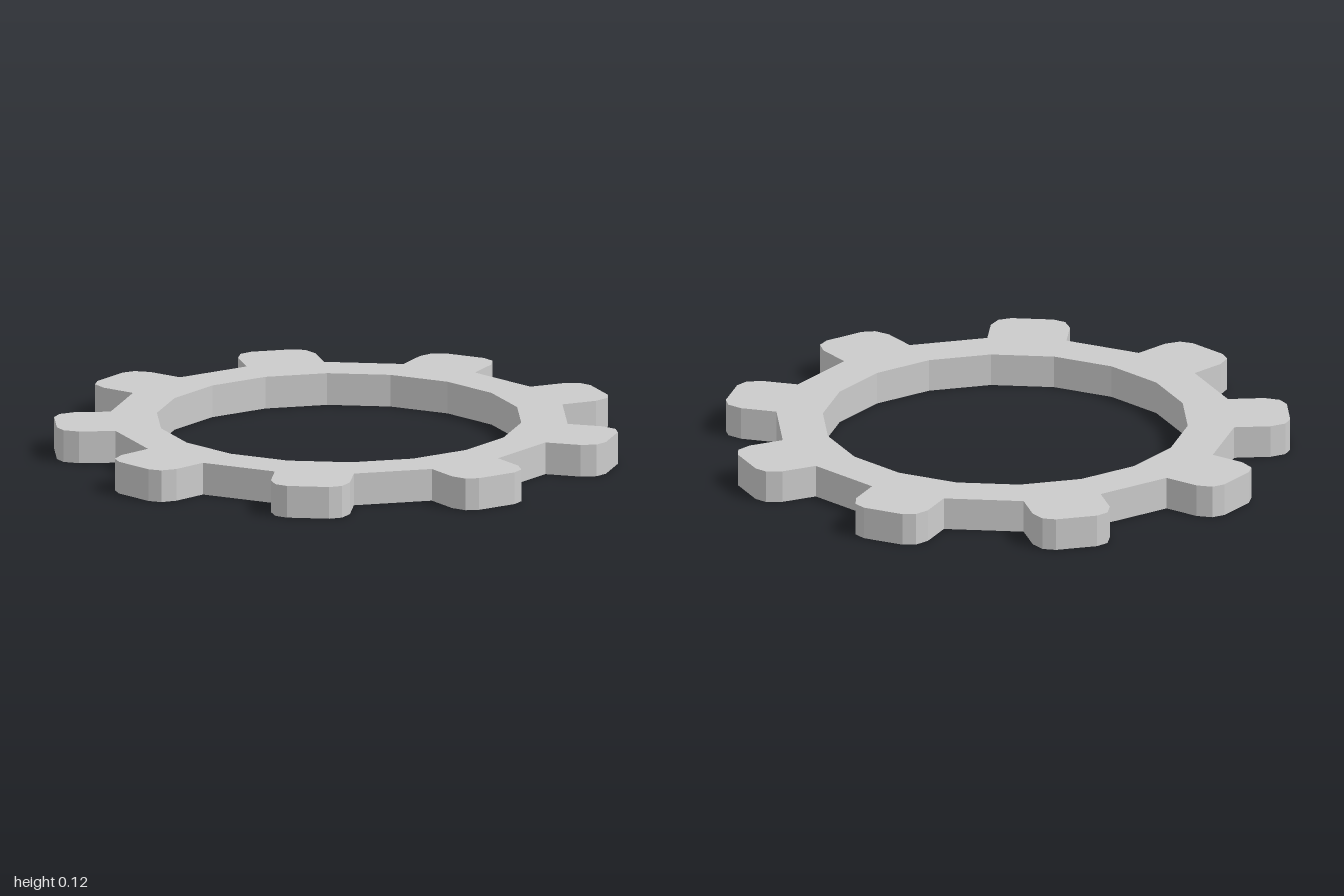
import * as THREE from 'three';

const TEETH = 9;
const HEIGHT = 0.115;
const HOLE_RADIUS = 0.645;
const HOLE_SIDES = 18;
const CENTRE_Z = -0.022; // an odd tooth count puts the axis slightly off the middle

// One tooth: [sideways offset, distance from the axis], root to root
const half = [[0.14, 0.797], [0.14, 0.926], [0.118, 0.979], [0.075, 1.0]];
const tooth = [...half.map(([u, r]) => [-u, r]), ...half.slice().reverse()];

export function createModel() {
  const group = new THREE.Group();
  group.name = 'gearRing';

  // Outer outline: the tooth repeated round the axis, with straight roots between
  const outline = [];
  for (let i = 0; i < TEETH; i++) {
    const a = (i / TEETH) * Math.PI * 2;
    for (const [u, r] of tooth) {
      outline.push(new THREE.Vector2(
        r * Math.sin(a) + u * Math.cos(a),
        r * Math.cos(a) - u * Math.sin(a)
      ));
    }
  }
  const shape = new THREE.Shape(outline);

  // Faceted central hole
  const hole = [];
  for (let i = 0; i < HOLE_SIDES; i++) {
    const a = (i / HOLE_SIDES) * Math.PI * 2;
    hole.push(new THREE.Vector2(HOLE_RADIUS * Math.cos(a), HOLE_RADIUS * Math.sin(a)));
  }
  shape.holes.push(new THREE.Path(hole));

  // Lay the extrusion flat, standing on y = 0
  const geometry = new THREE.ExtrudeGeometry(shape, { depth: HEIGHT, bevelEnabled: false });
  geometry.rotateX(Math.PI / 2);
  geometry.translate(0, HEIGHT, CENTRE_Z);

  const ring = new THREE.Mesh(
    geometry,
    new THREE.MeshStandardMaterial({ color: 0xcccccc, flatShading: true })
  );
  ring.name = 'toothedRing';
  group.add(ring);
  return group;
}
